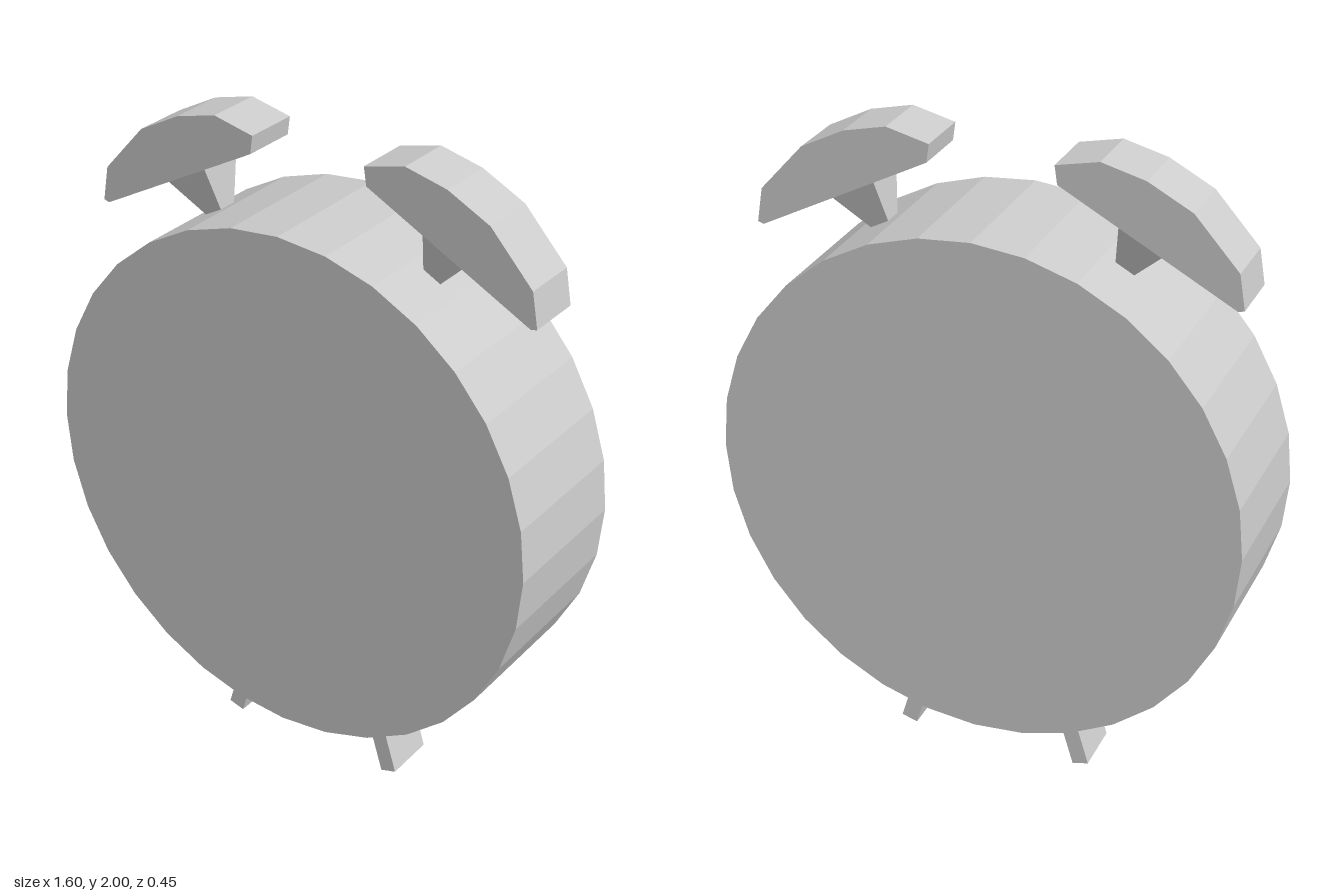
import * as THREE from 'three';

const material = new THREE.MeshStandardMaterial({ color: 0xcccccc, flatShading: true });

function addMesh(parent, name, geometry) {
  const mesh = new THREE.Mesh(geometry, material);
  mesh.name = name;
  parent.add(mesh);
  return mesh;
}

// Outline of the bell on the +x side, counter-clockwise
const bellOutline = [
  [0.19, 1.915], [0.705, 1.643], [0.723, 1.648], [0.705, 1.753],
  [0.572, 1.9], [0.44, 1.968], [0.31, 2.0], [0.182, 1.97],
];

export function createModel() {
  const model = new THREE.Group();
  model.name = 'alarmClock';

  // Round case
  const body = addMesh(model, 'case', new THREE.CylinderGeometry(0.8, 0.8, 0.453, 32));
  body.rotation.x = Math.PI / 2;
  body.position.set(0, 0.972, -0.001);

  for (const side of [1, -1]) {
    const prefix = side > 0 ? 'left' : 'right';

    // Faceted bell, mirrored by reversing the outline
    const points = bellOutline.map(([x, y]) => new THREE.Vector2(side * x, y));
    if (side < 0) points.reverse();
    const bell = new THREE.ExtrudeGeometry(new THREE.Shape(points), { depth: 0.174, bevelEnabled: false });
    addMesh(model, prefix + 'Bell', bell.translate(0, 0, -0.088));

    // Square tapered stem, square to the underside of the bell
    const stemGeometry = new THREE.CylinderGeometry(0.074 * Math.SQRT2, 0.02 * Math.SQRT2, 0.16, 4);
    stemGeometry.rotateY(Math.PI / 4).translate(0, -0.08, 0);
    const stem = addMesh(model, prefix + 'BellStem', stemGeometry);
    stem.position.set(side * 0.426, 1.792, 0);
    stem.rotation.z = -side * 0.486;

    // Splayed foot running up into the case
    const foot = addMesh(model, prefix + 'Foot', new THREE.BoxGeometry(0.052, 0.25, 0.162));
    foot.position.set(side * 0.254, 0.126, 0);
    foot.rotation.z = side * 0.29;
  }
  return model;
}
